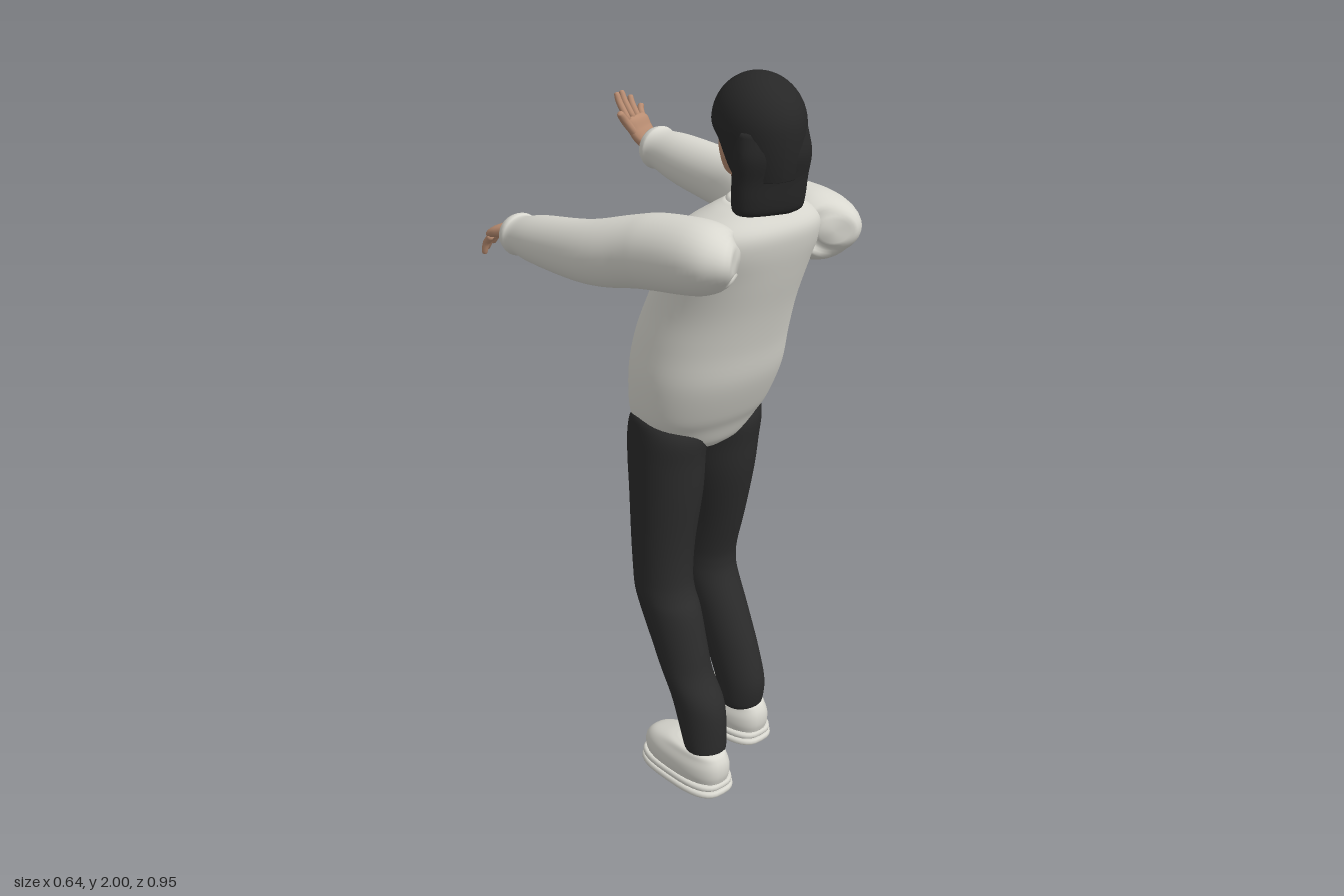
import * as THREE from 'three';

const mat = (name, color, side = THREE.FrontSide) => {
  const m = new THREE.MeshStandardMaterial({ color, side });
  m.name = name;
  return m;
};

// Smooth closed skin through elliptical sections [x, y, z, radiusA, radiusB].
// Sections stand across the path, or stay horizontal when upright is set.
function loft(sections, { upright = false, power = 2, around = 28, steps = 5 } = {}) {
  const path = new THREE.CatmullRomCurve3(sections.map(s => new THREE.Vector3(s[0], s[1], s[2])), false, 'catmullrom');
  const size = new THREE.CatmullRomCurve3(sections.map(s => new THREE.Vector3(s[3], s[4], 0)), false, 'catmullrom');
  const rows = (sections.length - 1) * steps;
  const pos = [], idx = [];
  const bend = v => Math.sign(v) * Math.abs(v) ** (2 / power);
  const rise = Math.sign(sections.at(-1)[1] - sections[0][1]);
  for (let i = 0; i <= rows; i++) {
    const c = path.getPoint(i / rows), r = size.getPoint(i / rows);
    const t = upright ? new THREE.Vector3(0, rise, 0) : path.getTangent(i / rows);
    const u = new THREE.Vector3(1, 0, 0).addScaledVector(t, -t.x).normalize();
    const v = t.clone().cross(u);
    for (let j = 0; j < around; j++) {
      const a = j / around * Math.PI * 2;
      const p = c.clone().addScaledVector(u, bend(Math.cos(a)) * r.x).addScaledVector(v, bend(Math.sin(a)) * r.y);
      pos.push(p.x, p.y, p.z);
      if (i === rows) continue;
      const k = (j + 1) % around, b = i * around;
      idx.push(b + j, b + k, b + around + j, b + k, b + around + k, b + around + j);
    }
  }
  const first = pos.length / 3, end = rows * around;
  for (const s of [sections[0], sections.at(-1)]) pos.push(s[0], s[1], s[2]);
  for (let j = 0; j < around; j++) {
    const k = (j + 1) % around;
    idx.push(first, k, j, first + 1, end + j, end + k);
  }
  const g = new THREE.BufferGeometry();
  g.setAttribute('position', new THREE.Float32BufferAttribute(pos, 3));
  g.setIndex(idx);
  g.computeVertexNormals();
  return g;
}

// Horizontal sections given by their extents [y, zBack, zFront, xMin, xMax].
const stack = (list, opt = {}) => loft(list.map(([y, zb, zf, x0, x1]) =>
  [(x0 + x1) / 2, y, (zb + zf) / 2, (x1 - x0) / 2, (zb - zf) / 2]), { upright: true, ...opt });
// Same, symmetric in x: [y, zBack, zFront, halfWidth].
const body = (list, opt) => stack(list.map(([y, zb, zf, w]) => [y, zb, zf, -w, w]), opt);

export function createModel() {
  const model = new THREE.Group();
  const cloth = mat('off-white knit', 0xd9d8d0);
  const trousers = mat('black trousers', 0x2b2b2b);
  const hairMat = mat('black hair', 0x272727, THREE.DoubleSide);
  const skin = mat('skin', 0xb98d72);
  const lipMat = mat('lips', 0x9a6655);
  const eyeMat = mat('eye white', 0xd8d2c8);
  const add = (name, geo, m, parent = model) => {
    const mesh = new THREE.Mesh(geo, m);
    mesh.name = name;
    parent.add(mesh);
    return mesh;
  };

  // Sweater body, leaning back
  add('sweater', body([
    [0.975, 0.2, 0.13, 0.05], [1.0, 0.228, 0.06, 0.13], [1.05, 0.255, 0.0, 0.182], [1.1, 0.285, -0.012, 0.205],
    [1.2, 0.33, -0.012, 0.216], [1.3, 0.355, 0.005, 0.21], [1.4, 0.385, 0.045, 0.2], [1.5, 0.42, 0.1, 0.2],
    [1.58, 0.445, 0.14, 0.21], [1.63, 0.45, 0.18, 0.19], [1.67, 0.43, 0.235, 0.13], [1.69, 0.42, 0.265, 0.085],
  ], { power: 2.2, around: 48 }), cloth);
  const collar = add('collar', new THREE.TorusGeometry(0.072, 0.014, 10, 36), cloth);
  collar.rotation.x = Math.PI / 2;
  collar.position.set(0, 1.685, 0.345);

  // Sleeves, stretched out ahead with a gathered cuff
  add('leftSleeve', loft([
    [0.17, 1.59, 0.44, 0.04, 0.03], [0.185, 1.59, 0.415, 0.085, 0.07], [0.195, 1.585, 0.35, 0.1, 0.092],
    [0.205, 1.585, 0.22, 0.097, 0.094], [0.217, 1.588, 0.14, 0.09, 0.09], [0.249, 1.602, 0, 0.073, 0.083],
    [0.25, 1.625, -0.2, 0.066, 0.072], [0.248, 1.637, -0.285, 0.058, 0.058], [0.248, 1.64, -0.31, 0.062, 0.062],
    [0.248, 1.643, -0.332, 0.053, 0.053],
  ]), cloth);
  add('rightSleeve', loft([
    [-0.17, 1.59, 0.44, 0.04, 0.03], [-0.185, 1.59, 0.415, 0.085, 0.07], [-0.195, 1.582, 0.35, 0.1, 0.092],
    [-0.205, 1.565, 0.22, 0.097, 0.096], [-0.217, 1.55, 0.14, 0.09, 0.092], [-0.249, 1.52, 0, 0.073, 0.084],
    [-0.248, 1.5, -0.2, 0.066, 0.068], [-0.245, 1.492, -0.285, 0.058, 0.054], [-0.244, 1.491, -0.31, 0.061, 0.058],
    [-0.243, 1.49, -0.332, 0.053, 0.05],
  ]), cloth);

  // Hands: palm, four fingers and a thumb, each finger as [base, tip]
  const hand = (name, palm, fingers, bow) => {
    const g = new THREE.Group();
    g.name = name;
    model.add(g);
    add('palm', loft(palm, { power: 2.4, around: 20 }), skin, g);
    fingers.forEach(([a, b], i) => {
      const p = new THREE.Vector3(...a), q = new THREE.Vector3(...b);
      const m = p.clone().lerp(q, 0.55).add(new THREE.Vector3(...bow));
      const r = i === 4 ? 0.012 : 0.0095;
      const e = m.clone().lerp(q, 0.85);
      add(i === 4 ? 'thumb' : 'finger', loft([
        [...p, r, r], [...m, r, r], [...e, r * 0.8, r * 0.8], [...q, r * 0.2, r * 0.2],
      ], { around: 10, steps: 4 }), skin, g);
    });
  };
  hand('leftHand', [
    [0.248, 1.643, -0.31, 0.032, 0.028], [0.242, 1.655, -0.345, 0.034, 0.023], [0.228, 1.685, -0.362, 0.039, 0.018],
    [0.221, 1.712, -0.37, 0.038, 0.014], [0.219, 1.725, -0.375, 0.03, 0.006],
  ], [
    [[0.19, 1.715, -0.37], [0.178, 1.79, -0.408]], [[0.21, 1.718, -0.373], [0.204, 1.79, -0.417]],
    [[0.23, 1.714, -0.373], [0.232, 1.774, -0.412]], [[0.247, 1.705, -0.37], [0.262, 1.747, -0.398]],
    [[0.21, 1.67, -0.357], [0.15, 1.745, -0.362]],
  ], [-0.002, 0.004, -0.006]);
  hand('rightHand', [
    [-0.243, 1.49, -0.31, 0.032, 0.027], [-0.243, 1.492, -0.35, 0.034, 0.022], [-0.243, 1.486, -0.385, 0.041, 0.018],
    [-0.244, 1.475, -0.41, 0.04, 0.014], [-0.244, 1.468, -0.42, 0.03, 0.006],
  ], [
    [[-0.214, 1.474, -0.408], [-0.222, 1.425, -0.468]], [[-0.235, 1.474, -0.41], [-0.243, 1.412, -0.468]],
    [[-0.255, 1.472, -0.408], [-0.262, 1.408, -0.455]], [[-0.273, 1.47, -0.403], [-0.275, 1.412, -0.435]],
    [[-0.22, 1.48, -0.365], [-0.178, 1.452, -0.435]],
  ], [0, 0.008, -0.004]);

  // Trouser legs, knees bent, one foot further back
  add('leftLeg', stack([
    [1.098, 0.13, 0.1, 0.11, 0.18], [1.08, 0.19, 0.045, 0.04, 0.204], [1.03, 0.23, 0.012, 0, 0.204],
    [0.95, 0.225, 0, 0, 0.2], [0.85, 0.212, -0.006, 0.004, 0.196], [0.7, 0.175, -0.02, 0.025, 0.193],
    [0.6, 0.148, -0.033, 0.033, 0.19], [0.55, 0.142, -0.037, 0.035, 0.19], [0.5, 0.152, -0.028, 0.036, 0.188],
    [0.4, 0.2, 0.015, 0.042, 0.184], [0.3, 0.245, 0.062, 0.045, 0.18], [0.2, 0.275, 0.115, 0.047, 0.178],
    [0.13, 0.27, 0.132, 0.05, 0.176], [0.11, 0.26, 0.14, 0.06, 0.168],
  ]), trousers);
  add('rightLeg', stack([
    [1.098, 0.13, 0.1, -0.18, -0.11], [1.08, 0.19, 0.045, -0.204, -0.04], [1.03, 0.23, 0.012, -0.206, 0],
    [0.95, 0.226, 0.008, -0.204, 0], [0.85, 0.22, 0.012, -0.2, -0.004], [0.7, 0.205, 0.022, -0.196, -0.025],
    [0.6, 0.205, 0.03, -0.194, -0.035], [0.55, 0.217, 0.036, -0.194, -0.038], [0.5, 0.245, 0.052, -0.192, -0.04],
    [0.4, 0.277, 0.105, -0.188, -0.048], [0.33, 0.3, 0.145, -0.187, -0.052], [0.25, 0.355, 0.19, -0.186, -0.056],
    [0.13, 0.366, 0.245, -0.185, -0.066], [0.11, 0.355, 0.255, -0.178, -0.075],
  ]), trousers);

  // Shoes: two-layer sole under a rounded upper
  const shoe = (name, x, z) => {
    const g = new THREE.Group();
    g.name = name;
    g.position.set(x, 0, z);
    model.add(g);
    for (const [y, grow] of [[0, 0], [0.02, -0.003]]) add('sole', body([
      [y, 0.145 + grow, -0.145 - grow, 0.07 + grow], [y + 0.004, 0.152 + grow, -0.152 - grow, 0.077 + grow],
      [y + 0.014, 0.152 + grow, -0.152 - grow, 0.077 + grow], [y + 0.019, 0.146 + grow, -0.146 - grow, 0.071 + grow],
    ], { power: 2.9, steps: 2, around: 36 }), cloth, g);
    add('upper', body([
      [0.036, 0.143, -0.143, 0.066], [0.06, 0.149, -0.147, 0.07], [0.085, 0.149, -0.14, 0.068],
      [0.106, 0.143, -0.115, 0.06], [0.122, 0.13, -0.06, 0.052], [0.128, 0.1, -0.02, 0.035],
    ], { power: 2.5, around: 36 }), cloth, g);
  };
  shoe('leftShoe', 0.12, 0.135);
  shoe('rightShoe', -0.134, 0.24);

  // Neck and head, the head turned a little to the side
  add('neck', body([[1.64, 0.4, 0.275, 0.062], [1.7, 0.395, 0.275, 0.056], [1.78, 0.39, 0.25, 0.056]]), skin);
  const head = new THREE.Group();
  head.name = 'head';
  head.position.set(-0.008, 0, 0.34);
  head.rotation.y = -0.3;
  model.add(head);
  add('face', body([
    [1.728, -0.03, -0.095, 0.02], [1.738, 0, -0.125, 0.04], [1.755, 0.02, -0.13, 0.053], [1.78, 0.05, -0.124, 0.068],
    [1.81, 0.07, -0.12, 0.079], [1.85, 0.085, -0.116, 0.084], [1.88, 0.09, -0.12, 0.086], [1.92, 0.09, -0.113, 0.084],
    [1.96, 0.07, -0.085, 0.066], [1.985, 0.03, -0.04, 0.03],
  ], { around: 36 }), skin, head);
  add('nose', loft([
    [0, 1.868, -0.113, 0.007, 0.006], [0, 1.84, -0.122, 0.008, 0.01], [0, 1.815, -0.133, 0.014, 0.016],
    [0, 1.804, -0.126, 0.014, 0.012], [0, 1.8, -0.12, 0.006, 0.005],
  ], { upright: true, around: 14 }), skin, head);
  const bead = (name, m, p, s, rz = 0) => {
    const mesh = add(name, new THREE.SphereGeometry(1, 18, 12), m, head);
    mesh.position.set(...p);
    mesh.scale.set(...s);
    mesh.rotation.z = rz;
    return mesh;
  };
  bead('upperLip', lipMat, [0, 1.777, -0.122], [0.024, 0.004, 0.007]);
  bead('lowerLip', lipMat, [0, 1.77, -0.122], [0.02, 0.005, 0.008]);
  for (const s of [-1, 1]) {
    bead('eye', eyeMat, [s * 0.036, 1.85, -0.104], [0.014, 0.007, 0.006]).rotation.y = s * -0.3;
    bead('iris', hairMat, [s * 0.036, 1.85, -0.108], [0.006, 0.006, 0.004]);
    bead('eyebrow', hairMat, [s * 0.038, 1.872, -0.108], [0.022, 0.0045, 0.006], s * 0.12).rotation.y = s * -0.35;
    bead('ear', skin, [s * 0.093, 1.828, 0.012], [0.012, 0.032, 0.02]).rotation.x = -0.2;
  }

  // Hair cap: a dome whose lower rim follows the hairline
  const cap = new THREE.SphereGeometry(1, 48, 24);
  const p = cap.attributes.position, uv = cap.attributes.uv;
  for (let i = 0; i < p.count; i++) {
    const a = uv.getX(i) * Math.PI * 2, t = 1 - uv.getY(i);
    const front = -Math.cos(a);
    const rim = front > 0.1 ? 1.86 + 0.06 * (front - 0.1)
      : 1.86 - 0.1 * THREE.MathUtils.smoothstep(0.1 - front, 0, 0.6);
    const k = Math.min(t / 0.92, 1), low = Math.acos(THREE.MathUtils.clamp((rim - 1.88) / 0.12, -1, 1));
    const y = 1.88 + 0.12 * Math.cos(k * low);
    let r = y > 1.88 ? Math.sqrt(Math.max(0, 1 - ((y - 1.88) / 0.12) ** 2)) : 1 - 0.12 * ((1.88 - y) / 0.12) ** 2;
    if (t > 0.93) r *= 0.85;
    p.setXYZ(i, Math.sin(a) * 0.109 * r, y, 0.005 + Math.cos(a) * 0.135 * r);
  }
  // reverse the winding, as the rule above mirrors the sphere's direction where needed
  cap.computeVertexNormals();
  const probe = Array.from({ length: p.count }, (_, i) =>
    p.getX(i) * cap.attributes.normal.getX(i) + p.getZ(i) * cap.attributes.normal.getZ(i)).reduce((a, b) => a + b);
  if (probe < 0) {
    cap.setIndex(Array.from(cap.index.array).reverse());
    cap.computeVertexNormals();
  }
  add('hairCap', cap, hairMat, head);
  add('hairBack', body([
    [1.88, 0.12, 0.02, 0.09], [1.82, 0.128, 0.025, 0.1], [1.76, 0.115, 0.02, 0.098], [1.71, 0.108, 0.015, 0.096],
    [1.68, 0.1, 0.02, 0.09], [1.668, 0.085, 0.035, 0.07],
  ], { power: 2.4 }), hairMat, head);

  return model;
}
